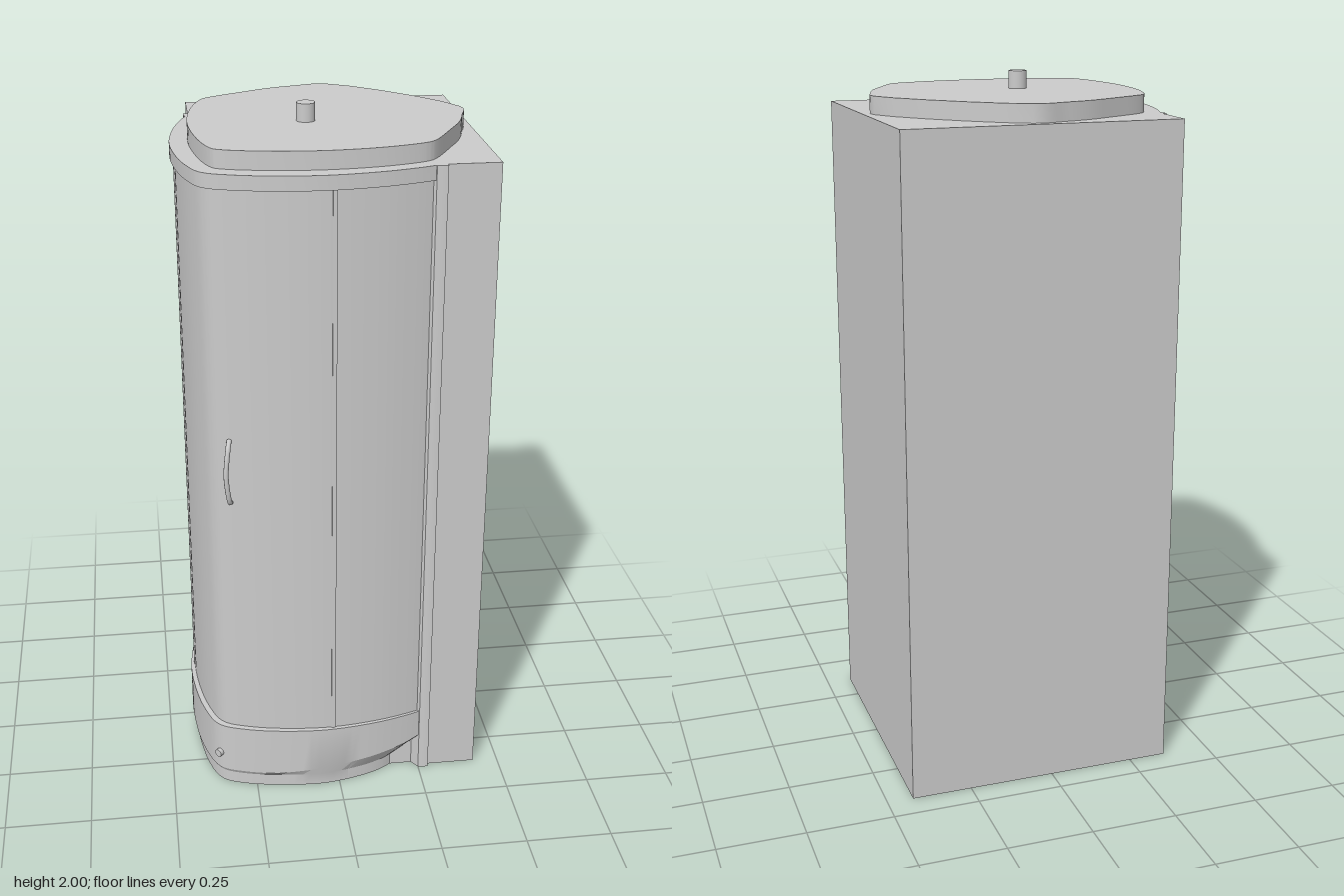
import * as THREE from 'three';
import { toCreasedNormals } from 'three/addons/utils/BufferGeometryUtils.js';

const mat = new THREE.MeshStandardMaterial({ color: 0xcccccc });
const V = (x, z) => new THREE.Vector2(x, z);

// The cabin is symmetric about its diagonal: (x, z) -> (-z, -x)
const flip = (p) => V(-p.y, -p.x);
const mirrored = (half) => [...half, ...half.slice().reverse().map(flip)];
const pts = (list) => list.map(([x, z]) => V(x, z));

// Smooth plan curve through half of the points and their mirror images
function planCurve(half, n, closed = false) {
  const p = mirrored(pts(half)).map((v) => new THREE.Vector3(v.x, 0, v.y));
  const c = new THREE.CatmullRomCurve3(p, closed, 'centripetal');
  const out = [];
  for (let i = 0; i < (closed ? n : n + 1); i++) {
    const q = c.getPoint(i / n);
    out.push(V(q.x, q.z));
  }
  return out;
}

// Upright prism from a plan outline
function prism(outline, y0, y1) {
  const shape = new THREE.Shape(outline.map((p) => V(p.x, -p.y)));
  const g = new THREE.ExtrudeGeometry(shape, { depth: y1 - y0, bevelEnabled: false });
  g.rotateX(-Math.PI / 2).translate(0, y0, 0);
  return toCreasedNormals(g, 0.45);
}

// Closed loft through rings of equal length, listed from bottom to top
function loft(rings) {
  const n = rings[0].length, pos = [], idx = [];
  rings.forEach((r) => r.forEach((p) => pos.push(p.x, p.y, p.z)));
  for (let r = 0; r < rings.length - 1; r++) {
    for (let i = 0; i < n; i++) {
      const a = r * n + i, b = r * n + ((i + 1) % n);
      idx.push(a, a + n, b, b, a + n, b + n);
    }
  }
  const top = (rings.length - 1) * n;
  const cap = (ring) => THREE.ShapeUtils.triangulateShape(ring.map((p) => V(p.x, p.z)), []);
  // Triangulation follows the ring order, which is clockwise seen from below
  cap(rings[0]).forEach(([a, b, c]) => idx.push(a, b, c));
  cap(rings[rings.length - 1]).forEach(([a, b, c]) => idx.push(top + a, top + c, top + b));
  const g = new THREE.BufferGeometry();
  g.setAttribute('position', new THREE.Float32BufferAttribute(pos, 3));
  g.setIndex(idx);
  return toCreasedNormals(g, 0.45);
}

export function createModel() {
  const model = new THREE.Group();
  const add = (name, geometry, material = mat) => {
    const m = new THREE.Mesh(geometry, material);
    m.name = name;
    model.add(m);
    return m;
  };

  // Rear housing: square block whose front corner is cut away for the cabin
  add('rearHousing', prism(mirrored(pts([
    [0.425, -0.425], [0.425, 0.36], [0.28, 0.36], [0.27, 0.345], [0.16, 0.345],
  ])).slice(0, -1), 0, 1.9));

  // Bowed front outline, from the left end round the corner to the rear end
  const front = planCurve([
    [0.255, 0.366], [0.2, 0.385], [0.1, 0.41], [-0.05, 0.426],
    [-0.2, 0.412], [-0.29, 0.39], [-0.343, 0.368],
  ], 80);

  // Shower tray: full rim above, with the toe undercut near both ends
  const toe = planCurve([
    [0.165, 0.345], [0.14, 0.362], [0.08, 0.388], [-0.05, 0.414],
    [-0.2, 0.402], [-0.28, 0.385], [-0.337, 0.362],
  ], 80);
  const ring = (outline, height) => outline.map((p, i) => new THREE.Vector3(p.x, height(i), p.y));
  const slope = (i) => {
    const fromEnd = Math.min(i, 80 - i) / 40;
    return 0.05 + 0.07 * Math.max(0, 1 - fromEnd / 0.6);
  };
  add('showerTray', loft([
    ring(toe, () => 0), ring(toe, () => 0.037), ring(front, slope), ring(front, () => 0.205),
  ]));

  // Curved glazing and the head rail above it
  const glass = front.map((p) => V(p.x + 0.013, p.y - 0.013));
  add('curvedGlazing', prism(glass, 0.2, 1.865));
  add('headRail', prism(front, 1.86, 1.9));

  // Door stiles, one at the middle of each bowed side
  const stile = (x, z, name) => {
    add(name, new THREE.BoxGeometry(0.012, 1.66, 0.012).translate(x, 1.03, z));
  };
  stile(-0.02, 0.41, 'frontDoorStile');
  stile(-0.41, 0.02, 'sideDoorStile');

  // Wall rails where the glazing meets the housing
  const rail = pts([
    [0.225, 0.335], [0.238, 0.355], [0.25, 0.37], [0.26, 0.373],
    [0.28, 0.373], [0.28, 0.34], [0.262, 0.32], [0.245, 0.32],
  ]);
  add('frontWallRail', prism(rail, 0, 1.9));
  add('sideWallRail', prism(rail.map(flip), 0, 1.9));

  // Bowed door handle
  const handlePath = new THREE.CatmullRomCurve3([
    [-0.305, 0.96, 0.368], [-0.309, 0.97, 0.387], [-0.318, 1.055, 0.4],
    [-0.309, 1.14, 0.387], [-0.305, 1.15, 0.368],
  ].map((p) => new THREE.Vector3(...p)));
  add('doorHandle', new THREE.TubeGeometry(handlePath, 32, 0.007, 10));

  // Small drain knob at the corner of the tray
  const knob = add('trayKnob', new THREE.CylinderGeometry(0.012, 0.012, 0.02, 16).rotateX(Math.PI / 2));
  knob.position.set(-0.358, 0.105, 0.358);
  knob.rotation.y = -Math.PI / 4;

  // Raised roof panel
  add('roofPanel', prism(planCurve([
    [0.398, -0.06], [0.383, 0.04], [0.358, 0.12], [0.32, 0.195], [0.265, 0.295],
    [0.245, 0.318], [0.21, 0.335], [0.1, 0.363], [-0.05, 0.375],
    [-0.2, 0.36], [-0.285, 0.34], [-0.318, 0.325],
  ].concat([]), 120, true).slice(), 1.895, 1.95));

  // Roof pipe stub
  add('roofPipe', new THREE.CylinderGeometry(0.026, 0.026, 0.055, 32).translate(-0.053, 1.9725, 0.05));

  return model;
}
